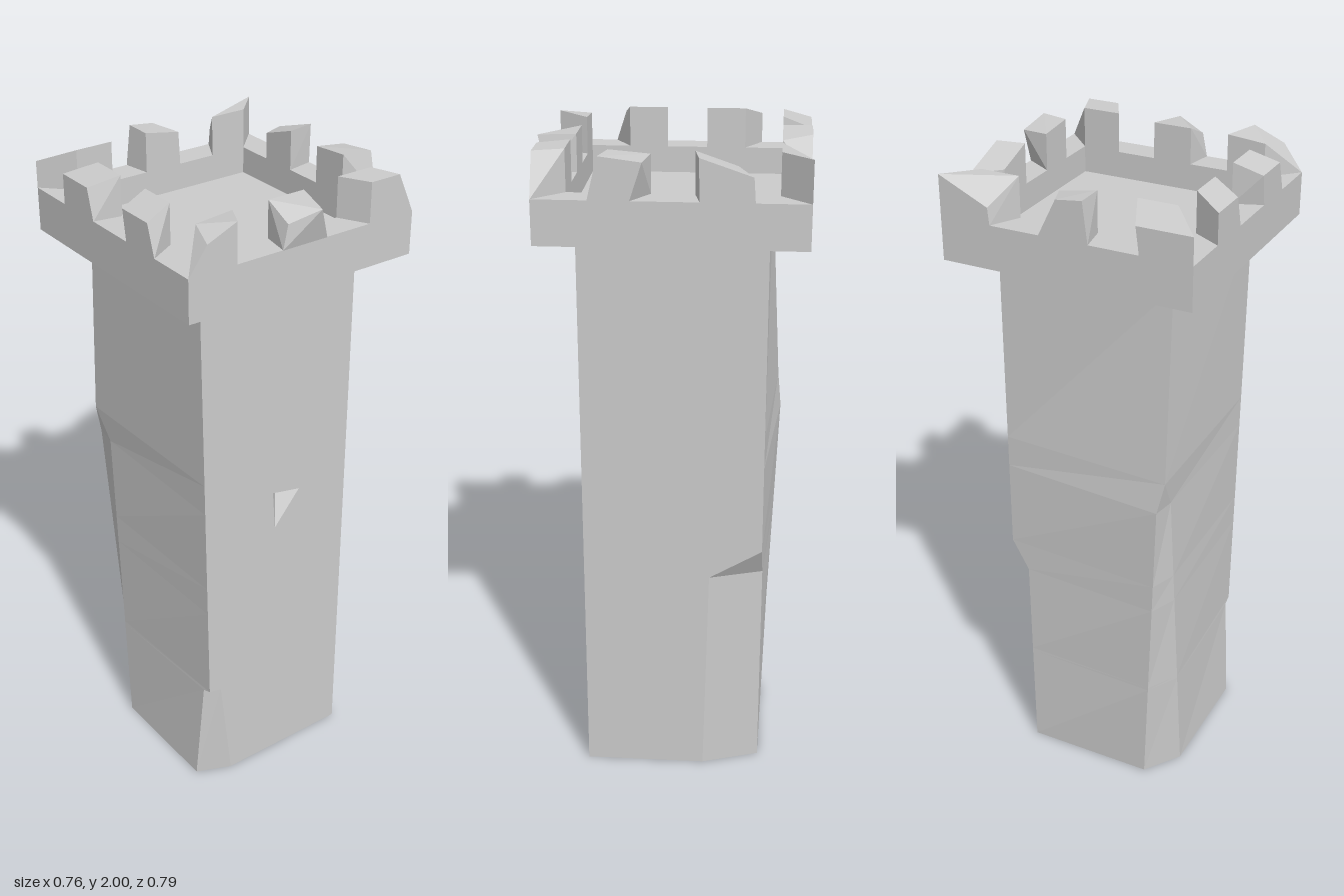
import * as THREE from 'three';
import { ConvexGeometry } from 'three/addons/geometries/ConvexGeometry.js';

const material = new THREE.MeshStandardMaterial({ color: 0xcccccc, flatShading: true });
const V = (x, y, z) => new THREE.Vector3(x, y, z);

function add(group, name, geometry) {
  const mesh = new THREE.Mesh(geometry, material);
  mesh.name = name;
  group.add(mesh);
  return mesh;
}

// Flat-shaded geometry from a list of triangles
function fromTriangles(tris) {
  const g = new THREE.BufferGeometry().setFromPoints(tris.flat());
  g.computeVertexNormals();
  return g;
}

// Vertical edges of the shaft as [y, x, z] stations, counter-clockwise from above
const FRONT_Z = 0.26, TOP = 1.75;
const frontLeft = [[0, -0.165, FRONT_Z], [0.355, -0.205, FRONT_Z], [0.365, -0.248, FRONT_Z], [TOP, -0.272, FRONT_Z]];
const edges = [
  [[0, 0.27, FRONT_Z], [TOP, 0.27, FRONT_Z]],
  [[0, 0.27, -0.11], [0.68, 0.27, -0.125], [0.775, 0.27, -0.285], [TOP, 0.27, -0.285]],
  [[0, 0.21, -0.285], [0.68, 0.215, -0.287], [0.775, 0.27, -0.285], [TOP, 0.27, -0.285]],
  [[0, -0.195, -0.285], [1.05, -0.25, -0.328], [1.15, -0.272, -0.318], [TOP, -0.274, -0.287]],
  [[0, -0.274, -0.175], [1.05, -0.262, -0.255], [1.15, -0.272, -0.318], [TOP, -0.274, -0.287]],
  [[0, -0.272, 0.215], [0.355, -0.25, 0.23], [0.365, -0.248, FRONT_Z], [TOP, -0.272, FRONT_Z]],
  frontLeft,
];

function edgeAt(stations, y) {
  let i = 0;
  while (i < stations.length - 2 && y > stations[i + 1][0]) i++;
  const [a, b] = [stations[i], stations[i + 1]];
  const t = (y - a[0]) / (b[0] - a[0]);
  return V(a[1] + (b[1] - a[1]) * t, y, a[2] + (b[2] - a[2]) * t);
}

function shaftSides() {
  const levels = [0, 0.355, 0.365, 0.68, 0.775, 1.05, 1.15, TOP];
  const rings = levels.map((y) => edges.map((e) => edgeAt(e, y)));
  const tris = [];
  for (let r = 0; r < rings.length - 1; r++) {
    for (let i = 0; i < edges.length - 1; i++) {
      const [a, b, c, d] = [rings[r][i], rings[r][i + 1], rings[r + 1][i + 1], rings[r + 1][i]];
      tris.push([a, b, c], [a, c, d]);
    }
  }
  // underside
  const base = rings[0];
  for (let i = 1; i < base.length - 1; i++) tris.push([base[0], base[i + 1], base[i]]);
  return fromTriangles(tris);
}

// Merlon hull: base and top corners in the order inner a, inner b, outer b, outer a
function merlon(base, top) {
  return new ConvexGeometry([
    ...base.map(([x, z]) => V(x, 1.879, z)),
    ...top.map(([x, y, z]) => V(x, y, z)),
  ]);
}

export function createModel() {
  const tower = new THREE.Group();
  tower.name = 'tower';

  // Shaft with chipped corners
  add(tower, 'shaft', shaftSides());

  // Front wall with a three-sided chip
  const chip = [[-0.01, 1.03], [0.0, 0.9], [0.09, 1.01]];
  const wall = new THREE.Shape([
    new THREE.Vector2(0.27, 0), new THREE.Vector2(0.27, TOP),
    ...[...frontLeft].reverse().map(([y, x]) => new THREE.Vector2(x, y)),
  ]);
  wall.holes.push(new THREE.Path(chip.map(([x, y]) => new THREE.Vector2(x, y))));
  add(tower, 'frontWall', new THREE.ShapeGeometry(wall)).position.z = FRONT_Z;
  const rim = chip.map(([x, y]) => V(x, y, FRONT_Z));
  const pit = V(0.03, 1.0, FRONT_Z - 0.04);
  add(tower, 'frontChip', fromTriangles(rim.map((p, i) => [p, rim[(i + 1) % 3], pit])));

  // Parapet: square ring around a sunken floor
  const X = 0.38, XI = 0.295, F = 0.365, FI = 0.278, B = -0.397, BI = -0.311;
  const rect = (x, z0, z1) => [[-x, -z1], [x, -z1], [x, -z0], [-x, -z0]].map((p) => new THREE.Vector2(...p));
  const ring = new THREE.Shape(rect(X, B, F));
  ring.holes.push(new THREE.Path(rect(XI, BI, FI)));
  const parapet = new THREE.ExtrudeGeometry(ring, { depth: 0.13, bevelEnabled: false });
  parapet.rotateX(-Math.PI / 2).translate(0, TOP, 0);
  add(tower, 'parapet', parapet);
  const floor = new THREE.BoxGeometry(2 * XI, 0.05, FI - BI);
  add(tower, 'parapetFloor', floor.translate(0, TOP + 0.025, (FI + BI) / 2));

  // Corner merlons
  const corner = (s, inner, outer) => [[s * 0.178, inner], [s * XI, inner], [s * X, outer], [s * 0.225, outer]];
  add(tower, 'frontLeftMerlon', merlon(corner(1, FI, F),
    [[0.178, 2, FI], [XI, 2, FI], [0.325, 2, F], [0.225, 2, F]]));
  add(tower, 'frontRightMerlon', merlon(corner(-1, FI, F),
    [[-0.178, 1.99, FI], [-XI, 1.98, FI], [-0.32, 1.96, F], [-0.225, 2, F]]));
  add(tower, 'backLeftMerlon', merlon(corner(1, BI, B),
    [[0.178, 2, BI], [XI, 2, BI], [X, 2, B], [0.23, 1.93, B]]));
  add(tower, 'backRightMerlon', merlon(corner(-1, BI, B),
    [[-0.178, 2, BI], [-XI, 2, BI], [-X, 1.96, B], [-0.215, 1.96, B]]));

  // Middle merlons, front one with a jutting tip
  const middle = (inner, outer) => [[-0.06, inner], [0.06, inner], [0.075, outer], [-0.075, outer]];
  add(tower, 'frontMiddleMerlon', merlon(middle(FI, F),
    [[-0.06, 1.99, FI], [0.06, 1.99, FI], [0.03, 1.98, 0.395], [-0.06, 1.95, F]]));
  add(tower, 'backMiddleMerlon', merlon(middle(BI, B),
    [[-0.06, 2, BI], [0.055, 1.98, BI], [0.02, 1.99, B], [-0.06, 2, B]]));

  // Side merlons: inner span, outer base span, outer top span, top heights
  const sides = [
    ['leftFrontMerlon', 1, [0.043, 0.16], [0.095, 0.21], [0.06, 0.18], [1.99, 2, 2, 1.985]],
    ['leftBackMerlon', 1, [-0.195, -0.078], [-0.245, -0.095], [-0.24, -0.092], [1.96, 2, 2, 1.95]],
    ['rightFrontMerlon', -1, [0.043, 0.16], [0.075, 0.21], [0.06, 0.18], [2, 2, 1.97, 1.97]],
    ['rightBackMerlon', -1, [-0.195, -0.078], [-0.245, -0.092], [-0.245, -0.118], [2, 2, 1.97, 1.97]],
  ];
  for (const [name, s, i, o, t, h] of sides) {
    add(tower, name, merlon(
      [[s * XI, i[0]], [s * XI, i[1]], [s * X, o[1]], [s * X, o[0]]],
      [[s * XI, h[0], i[0]], [s * XI, h[1], i[1]], [s * X, h[2], t[1]], [s * X, h[3], t[0]]]));
  }
  return tower;
}
